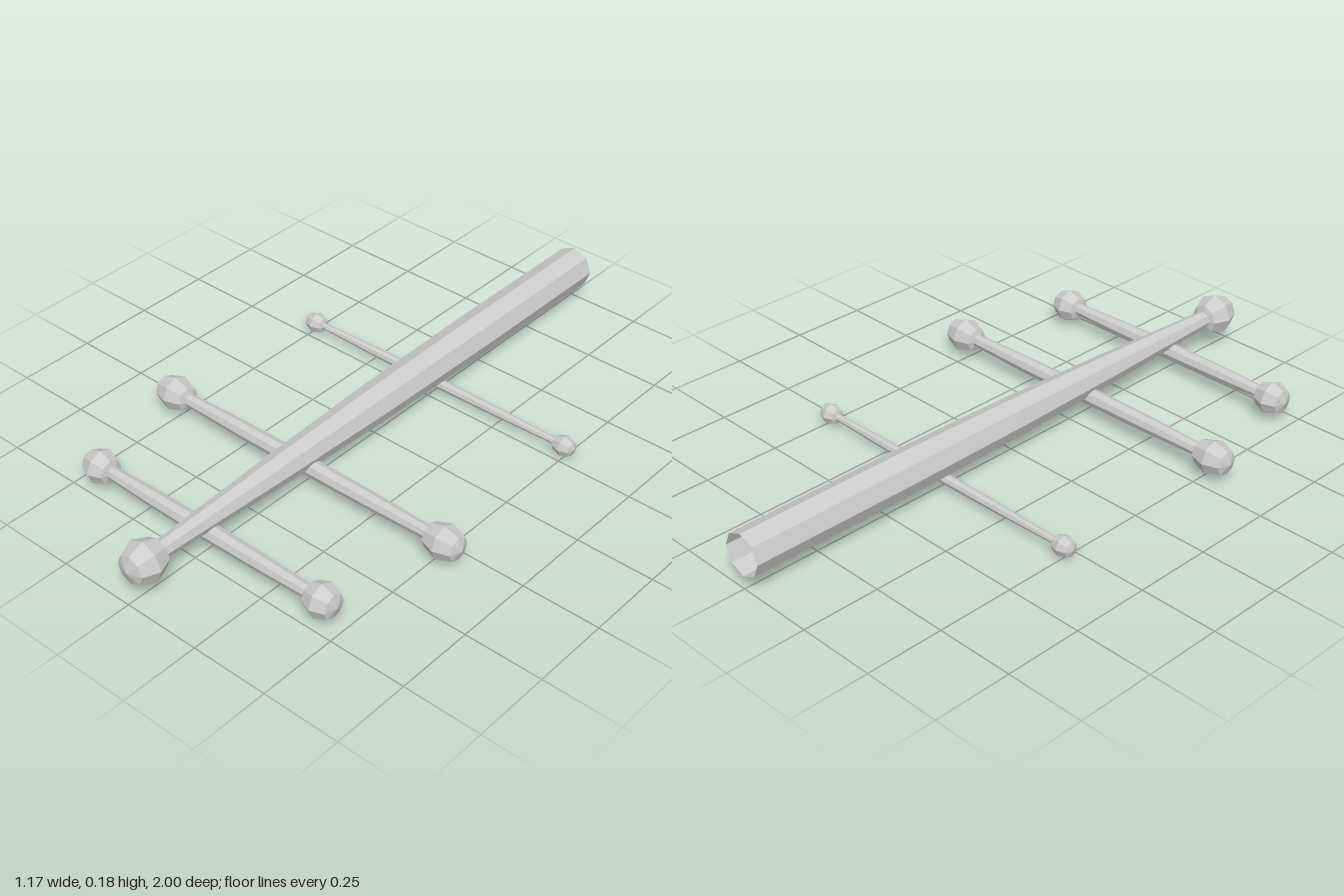
import * as THREE from 'three';

const SIDES = 8;
const material = new THREE.MeshStandardMaterial({ color: 0xcccccc, flatShading: true, side: THREE.DoubleSide });

// Eight-sided turned part along y, from [radius, position] pairs
function turned(name, profile) {
  const points = profile.map(([r, y]) => new THREE.Vector2(r, y));
  const mesh = new THREE.Mesh(new THREE.LatheGeometry(points, SIDES), material);
  mesh.name = name;
  return mesh;
}

// Faceted knob with shallow domed ends, centred on its own origin
function knob(name, radius, halfLength) {
  const shape = [[0, -1], [0.7, -0.77], [1, 0], [0.7, 0.77], [0, 1]];
  return turned(name, shape.map(([r, t]) => [r * radius, t * halfLength]));
}

// Crossbar along x, thickest in the middle, with a knob on each end
function crossbar({ name, y, z, middle, end, knobX, knobRadius, knobHalf }) {
  const group = new THREE.Group();
  group.name = name;
  const reach = knobX - knobHalf * 0.4;
  const profile = [-1, -0.5, 0, 0.5, 1].map((t) => [middle - (middle - end) * t * t, t * reach]);
  group.add(turned('crossbarRod', profile));
  for (const side of [-1, 1]) {
    const tip = knob(side > 0 ? 'leftKnob' : 'rightKnob', knobRadius, knobHalf);
    tip.position.y = side * knobX;
    group.add(tip);
  }
  group.rotation.z = -Math.PI / 2;
  group.position.set(0, y, z);
  return group;
}

export function createModel() {
  const model = new THREE.Group();
  model.name = 'barredShaft';

  // Main shaft, open at the back and tapering to the front knob
  const spine = new THREE.Group();
  spine.name = 'spine';
  spine.add(turned('shaft', [
    [0.068, -1], [0.068, -0.45], [0.062, 0], [0.049, 0.4], [0.027, 0.9],
  ]));
  const frontKnob = knob('frontKnob', 0.067, 0.066);
  frontKnob.position.y = 0.932;
  spine.add(frontKnob);
  spine.rotation.x = Math.PI / 2;
  spine.position.y = 0.112;
  model.add(spine);

  // Three crossbars under the shaft
  const bars = [
    { name: 'frontCrossbar', y: 0.07, z: 0.7, middle: 0.028, end: 0.02, knobX: 0.428, knobRadius: 0.055, knobHalf: 0.053 },
    { name: 'middleCrossbar', y: 0.07, z: 0.31, middle: 0.028, end: 0.02, knobX: 0.522, knobRadius: 0.055, knobHalf: 0.064 },
    { name: 'rearCrossbar', y: 0.035, z: -0.285, middle: 0.017, end: 0.01, knobX: 0.492, knobRadius: 0.033, knobHalf: 0.037 },
  ];
  bars.forEach((bar) => model.add(crossbar(bar)));

  return model;
}
